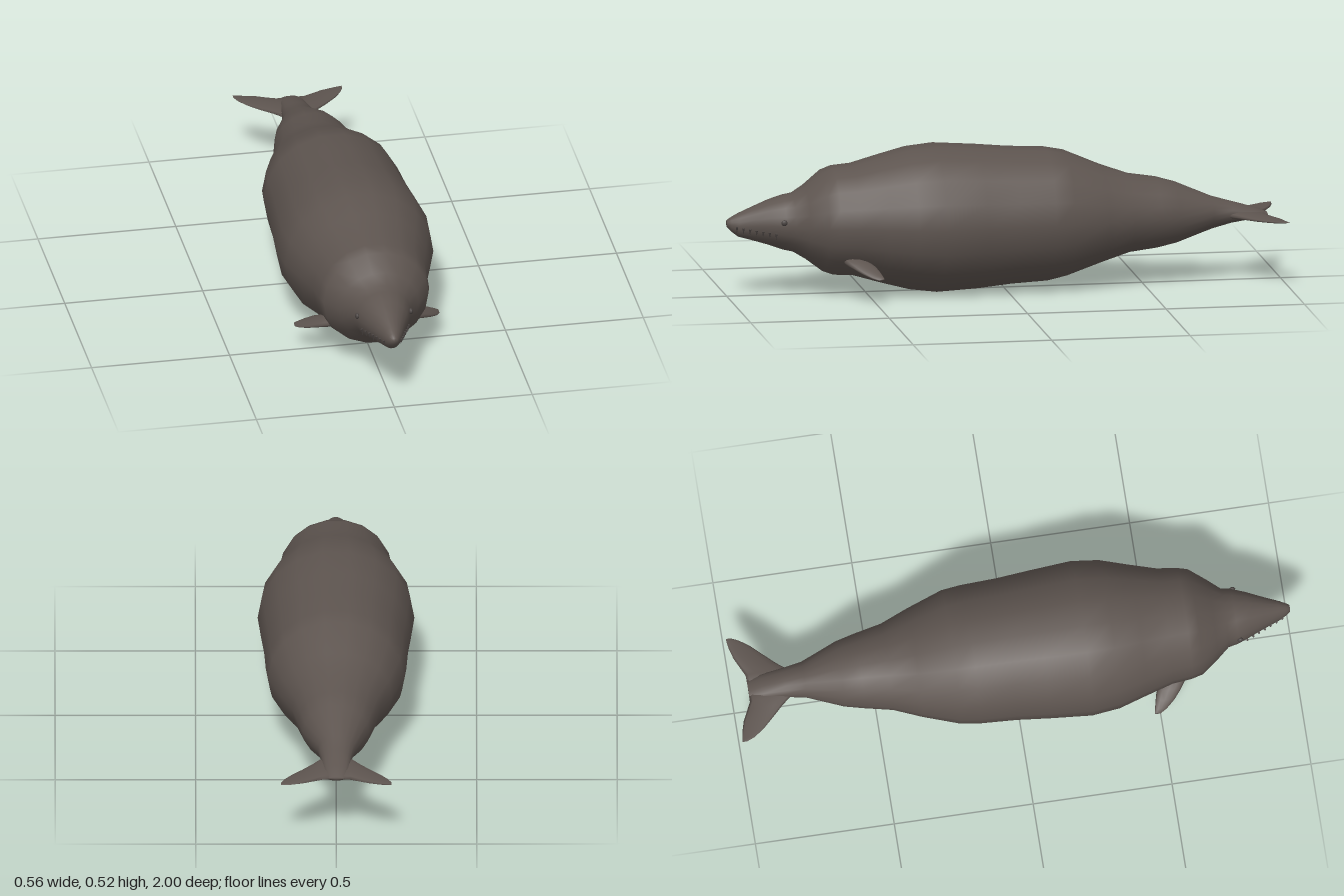
import * as THREE from 'three';

const hide = new THREE.MeshStandardMaterial({ color: 0x5d544f });
hide.name = 'hide';
const dark = new THREE.MeshStandardMaterial({ color: 0x4a4442 });
dark.name = 'darkHide';

// Closed skin over a list of equal-length rings, with a centre point at each end
function loft(rings) {
  const n = rings[0].length, pos = [], idx = [];
  rings.forEach(r => r.forEach(p => pos.push(...p)));
  for (let i = 0; i < rings.length - 1; i++) {
    for (let j = 0; j < n; j++) {
      const a = i * n + j, b = i * n + (j + 1) % n;
      idx.push(a, b, a + n, b, b + n, a + n);
    }
  }
  [0, rings.length - 1].forEach((ri, end) => {
    const c = pos.length / 3;
    pos.push(...[0, 1, 2].map(k => rings[ri].reduce((s, p) => s + p[k], 0) / n));
    for (let j = 0; j < n; j++) {
      const a = ri * n + j, b = ri * n + (j + 1) % n;
      idx.push(...(end ? [c, a, b] : [c, b, a]));
    }
  });
  const g = new THREE.BufferGeometry();
  g.setAttribute('position', new THREE.Float32BufferAttribute(pos, 3));
  g.setIndex(idx);
  g.computeVertexNormals();
  return g;
}

function add(group, name, geometry, material) {
  const m = new THREE.Mesh(geometry, material);
  m.name = name;
  group.add(m);
  return m;
}

// Body stations from snout to tail: z, top, bottom, half width
const BODY = [
  [1.0, 0.277, 0.253, 0.012], [0.985, 0.287, 0.236, 0.022], [0.96, 0.3, 0.217, 0.034],
  [0.9, 0.325, 0.2, 0.058], [0.85, 0.345, 0.185, 0.08], [0.8, 0.36, 0.167, 0.099],
  [0.765, 0.366, 0.159, 0.106], [0.72, 0.393, 0.132, 0.145], [0.66, 0.442, 0.087, 0.19],
  [0.62, 0.457, 0.073, 0.2], [0.55, 0.463, 0.069, 0.208], [0.45, 0.49, 0.04, 0.237],
  [0.35, 0.515, 0.014, 0.268], [0.25, 0.525, 0.001, 0.279], [0.1, 0.515, 0.009, 0.267],
  [-0.02, 0.504, 0.021, 0.256], [-0.15, 0.498, 0.028, 0.25], [-0.22, 0.485, 0.043, 0.242],
  [-0.35, 0.43, 0.087, 0.198], [-0.45, 0.395, 0.118, 0.157], [-0.55, 0.38, 0.13, 0.135],
  [-0.62, 0.36, 0.145, 0.118], [-0.75, 0.305, 0.19, 0.065], [-0.82, 0.285, 0.208, 0.054],
  [-0.9, 0.262, 0.221, 0.045], [-0.95, 0.243, 0.23, 0.03],
];
const SIDES = 18;

function bodyGeometry() {
  return loft(BODY.map(([z, top, bottom, rx]) => {
    const cy = (top + bottom) / 2, ry = (top - bottom) / 2 / Math.cos(Math.PI / SIDES);
    return Array.from({ length: SIDES }, (_, j) => {
      const a = (j + 0.5) * 2 * Math.PI / SIDES;
      return [rx * Math.sin(a), cy + ry * Math.cos(a), z];
    });
  }));
}

// Fin stations from root to tip: x, y, front z, back z, half thickness, tilt
function finGeometry(stations, side) {
  const n = 12;
  return loft(stations.map(([x, y, z0, z1, t, tilt]) =>
    Array.from({ length: n }, (_, j) => {
      const a = j * 2 * Math.PI / n, c = Math.cos(a);
      return [side * x, y - side * t * Math.sin(a) + tilt * c, (z0 + z1) / 2 + (z0 - z1) / 2 * c];
    })));
}

const FLIPPER = [
  [0.13, 0.14, 0.61, 0.51, 0.022, 0.008], [0.165, 0.134, 0.6, 0.505, 0.019, 0.006],
  [0.195, 0.124, 0.578, 0.49, 0.014, 0.003], [0.225, 0.111, 0.55, 0.482, 0.009, 0],
  [0.25, 0.099, 0.518, 0.477, 0.005, -0.002], [0.262, 0.093, 0.495, 0.475, 0.002, -0.002],
];
const FLUKE = [
  [0, 0.24, -0.76, -0.95, 0.016, 0.004], [0.05, 0.238, -0.8, -0.951, 0.014, 0.003],
  [0.08, 0.237, -0.837, -0.965, 0.011, 0.002], [0.12, 0.236, -0.878, -0.984, 0.008, 0],
  [0.16, 0.236, -0.92, -0.995, 0.005, 0], [0.185, 0.237, -0.955, -0.999, 0.003, 0],
  [0.197, 0.238, -0.982, -1.0, 0.001, 0],
];

export function createModel() {
  const model = new THREE.Group();
  model.name = 'seaMammal';
  add(model, 'body', bodyGeometry(), hide);

  for (const [side, label] of [[1, 'left'], [-1, 'right']]) {
    add(model, label + 'Flipper', finGeometry(FLIPPER, side), hide);
    add(model, label + 'Fluke', finGeometry(FLUKE, side), hide);

    const eye = add(model, label + 'Eye', new THREE.SphereGeometry(0.011, 12, 8), dark);
    eye.position.set(side * 0.097, 0.278, 0.808);
    eye.scale.set(0.7, 1, 1);

    // Row of small pointed teeth along the lip
    const teeth = new THREE.Group();
    teeth.name = label + 'Teeth';
    for (let i = 0; i < 7; i++) {
      const t = i / 6;
      const tooth = add(teeth, 'tooth', new THREE.ConeGeometry(0.0045, 0.024, 6), dark);
      tooth.position.set(side * (0.03 + 0.054 * t), 0.244 - 0.018 * t, 0.968 - 0.133 * t);
      tooth.rotation.set(Math.PI, 0, side * 0.15);
    }
    model.add(teeth);
  }
  return model;
}
